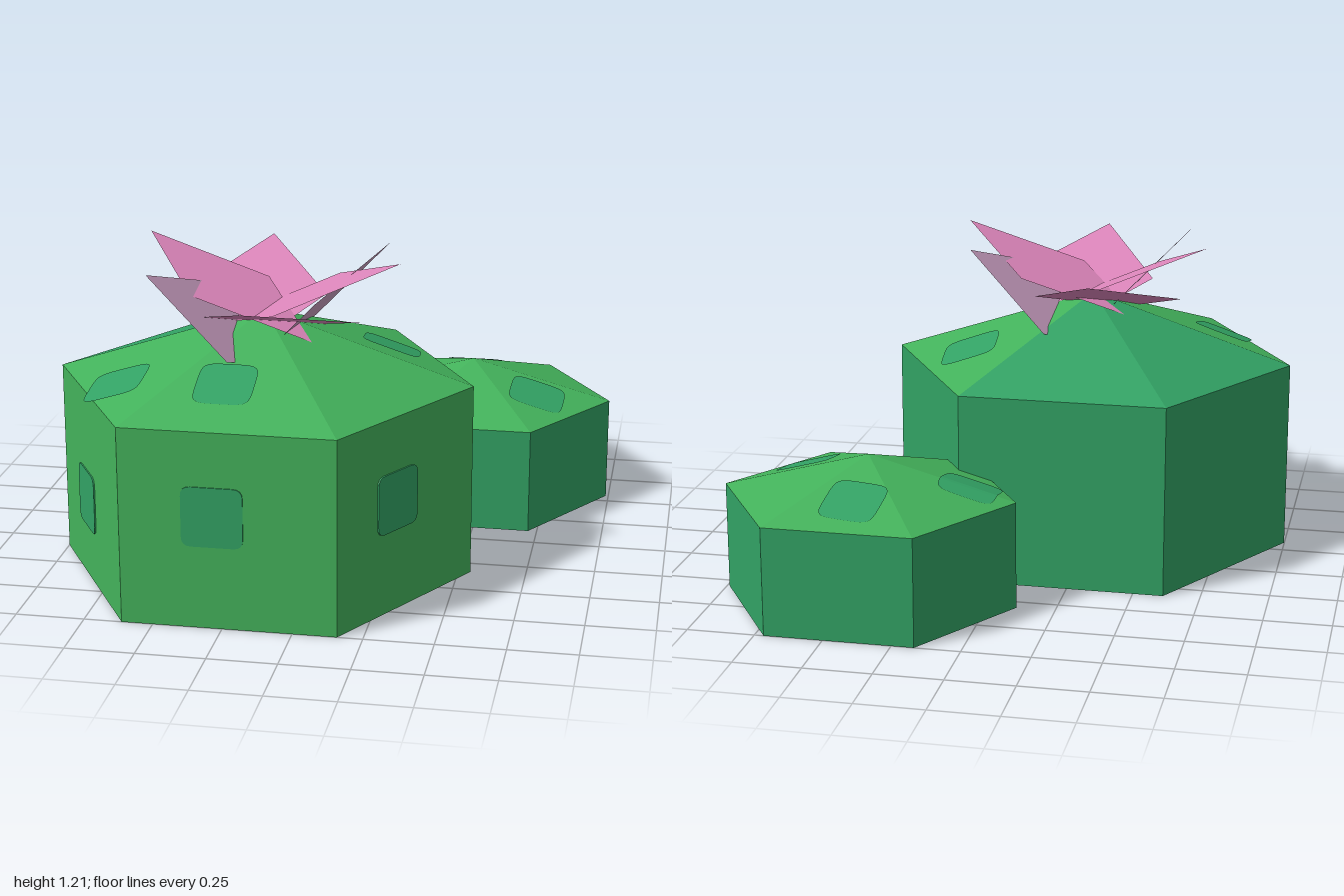
import * as THREE from 'three';

const mat = (name, color) =>
  new THREE.MeshStandardMaterial({ name, color, side: THREE.DoubleSide, flatShading: true });

// flat polygon from corner points, as a fan
function fan(points) {
  const pos = [];
  for (let i = 1; i < points.length - 1; i++) pos.push(...points[0], ...points[i], ...points[i + 1]);
  const g = new THREE.BufferGeometry();
  g.setAttribute('position', new THREE.Float32BufferAttribute(pos, 3));
  g.computeVertexNormals();
  return g;
}

export function createModel() {
  const model = new THREE.Group();
  model.name = 'cactusPair';
  const green = mat('leafGreen', 0x43b25b);
  const teal = mat('tealGreen', 0x32a264);
  const pink = mat('petalPink', 0xdd86bb);
  const pale = mat('petalLilac', 0xcfa2c6);

  const add = (parent, name, geometry, material) => {
    const mesh = new THREE.Mesh(geometry, material);
    mesh.name = name;
    parent.add(mesh);
    return mesh;
  };

  // hexagonal open-bottomed body: six walls and six roof faces
  function cactus(name, o) {
    const group = new THREE.Group();
    group.name = name;
    group.position.set(o.x, 0, o.z);
    model.add(group);
    const corner = (i, y) => [o.r * Math.cos(i * Math.PI / 3), y, o.d * Math.sin(i * Math.PI / 3) / Math.sin(Math.PI / 3)];
    for (let i = 0; i < 6; i++) {
      add(group, 'wall', fan([corner(i + 1, 0), corner(i, 0), corner(i, o.wall), corner(i + 1, o.wall)]),
        o.tealWalls.includes(i) ? teal : green);
      add(group, 'roof', fan([corner(i + 1, o.wall), corner(i, o.wall), [0, o.top, 0]]),
        o.tealRoofs.includes(i) ? teal : green);
    }
    // rounded patches draped over the roof
    const roofY = (x, z) => {
      const X = Math.abs(x) / o.r, Z = Math.abs(z) / o.d;
      return o.top - (o.top - o.wall) * Math.max(Z, X + Z / 2);
    };
    for (const [px, pz, turn] of o.roofSpots) {
      const g = new THREE.PlaneGeometry(2, 2, 12, 12).rotateX(-Math.PI / 2);
      const p = g.attributes.position;
      for (let i = 0; i < p.count; i++) {
        const u = p.getX(i), v = p.getZ(i);
        const k = 0.105 * (1 - 0.13 * Math.pow(Math.abs(u * v), 4));
        const x = px - o.x + k * (u * Math.cos(turn) - v * Math.sin(turn));
        const z = pz - o.z + k * (u * Math.sin(turn) + v * Math.cos(turn));
        p.setXYZ(i, x, roofY(x, z) + 0.004, z);
      }
      g.computeVertexNormals();
      add(group, 'roofSpot', g, teal);
    }
    return group;
  }

  const big = cactus('largeCactus', {
    x: -0.227, z: 0.333, r: 0.772, d: 0.667, wall: 0.725, top: 0.98,
    tealWalls: [3, 4, 5], tealRoofs: [3, 4],
    roofSpots: [[-0.705, 0.64, 0.05], [-0.28, 0.755, 0], [0.21, 0.095, -0.08]],
  });
  cactus('smallCactus', {
    x: 0.442, z: -0.558, r: 0.548, d: 0.442, wall: 0.405, top: 0.555,
    tealWalls: [0, 1, 2, 3, 4, 5], tealRoofs: [],
    roofSpots: [[0.425, -0.83, 0.12], [0.068, -0.535, 0.03], [0.712, -0.42, 0.03]],
  });

  // partial floor under the large body
  add(big, 'floor', fan([[0, 0, 0], [0.772, 0, 0], [0.386, 0, 0.667], [-0.386, 0, 0.667]]), green);

  // rounded patches on the three front walls, showing on both sides
  const s = 0.11, c = 0.035;
  const patch = new THREE.Shape();
  patch.moveTo(-s + c, -s).lineTo(s - c, -s).quadraticCurveTo(s, -s, s, -s + c)
    .lineTo(s, s - c).quadraticCurveTo(s, s, s - c, s)
    .lineTo(-s + c, s).quadraticCurveTo(-s, s, -s, s - c)
    .lineTo(-s, -s + c).quadraticCurveTo(-s, -s, -s + c, -s);
  for (const [x, y, z, turn] of [[-0.28, 0.415, 1, 0], [-0.835, 0.31, 0.618, -Math.PI / 3], [0.326, 0.415, 0.715, Math.PI / 3]]) {
    const g = new THREE.ExtrudeGeometry(patch, { depth: 0.008, bevelEnabled: false, curveSegments: 4 });
    const mesh = add(model, 'wallSpot', g.translate(0, 0, -0.004), teal);
    mesh.position.set(x, y, z);
    mesh.rotation.y = turn;
  }

  // flower: six slanted rhombic petals, each from its tip and two side corners
  const flower = new THREE.Group();
  flower.name = 'flower';
  model.add(flower);
  const petals = [
    [[-0.30, 1.125, -0.21], [-0.58, 0.985, 0.26], [-0.03, 0.995, 0.15], pink],
    [[-0.19, 1.125, 0.925], [0.15, 0.985, 0.47], [-0.43, 0.995, 0.535], pink],
    [[-0.69, 1.21, 0.16], [-0.26, 1.035, 0.085], [-0.46, 1.07, 0.52], pink],
    [[0.295, 1.21, 0.48], [-0.14, 1.035, 0.62], [0.015, 1.07, 0.12], pink],
    [[-0.575, 1.185, 0.69], [-0.29, 0.88, 0.685], [-0.41, 1.05, 0.25], pale],
    [[0.20, 1.185, 0.065], [-0.09, 0.88, 0.03], [-0.01, 1.05, 0.485], pale],
  ];
  for (const [tip, a, b, material] of petals) {
    const base = tip.map((t, i) => a[i] + b[i] - t);
    add(flower, 'petal', fan([tip, a, base, b]), material);
  }
  return model;
}
